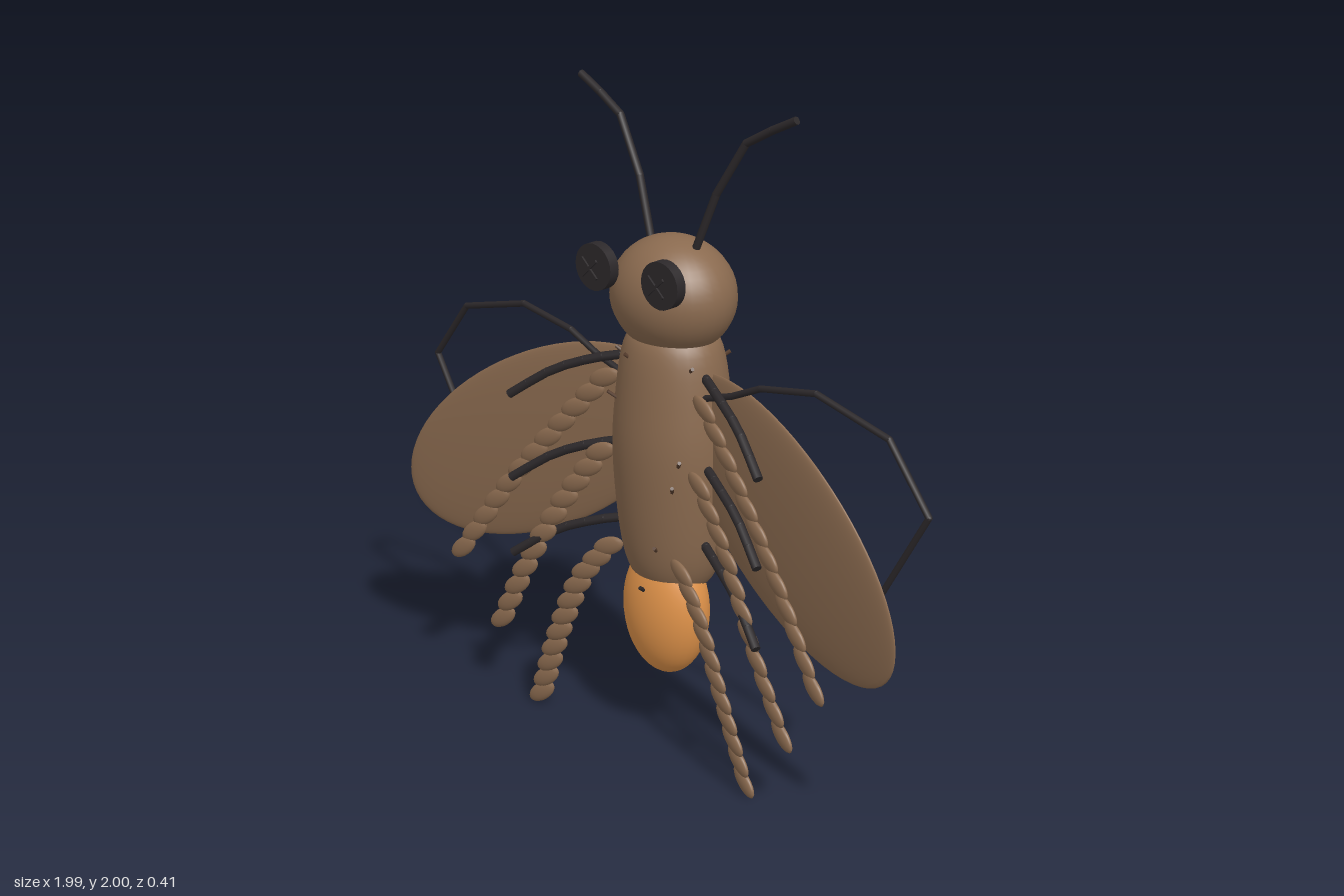
import * as THREE from 'three';

const mat = (name, color) => {
  const m = new THREE.MeshStandardMaterial({ color });
  m.name = name;
  return m;
};
const V = (x, y, z) => new THREE.Vector3(x, y, z);

export function createModel() {
  const brown = mat('brown', 0x8a6a4f);
  const orange = mat('orange', 0xe0934a);
  const black = mat('black', 0x2c282a);
  const bristleBrown = mat('bristleBrown', 0x5a4030);
  const model = new THREE.Group();
  model.name = 'beetle';

  const add = (name, geometry, material, parent = model) => {
    const mesh = new THREE.Mesh(geometry, material);
    mesh.name = name;
    parent.add(mesh);
    return mesh;
  };
  const group = (name) => {
    const g = new THREE.Group();
    g.name = name;
    model.add(g);
    return g;
  };
  const ellipsoid = (name, rx, ry, rz, material, parent, w = 32, h = 24) =>
    add(name, new THREE.SphereGeometry(1, w, h).scale(rx, ry, rz), material, parent);

  // Straight rod between two points
  const rod = (name, a, b, r, material, parent, sides = 8) => {
    const mesh = add(name, new THREE.CylinderGeometry(r, r, a.distanceTo(b), sides), material, parent);
    mesh.position.copy(a).lerp(b, 0.5);
    mesh.quaternion.setFromUnitVectors(V(0, 1, 0), b.clone().sub(a).normalize());
  };
  // Jointed limb made of rods, with small balls closing the joints
  const limb = (name, points, r) => {
    const g = group(name);
    for (let i = 1; i < points.length; i++) {
      rod('segment', points[i - 1], points[i], r, black, g);
      if (i < points.length - 1) ellipsoid('joint', r, r, r, black, g, 8, 6).position.copy(points[i]);
    }
  };

  // Head, barrel body and glowing tail
  ellipsoid('head', 0.198, 0.175, 0.172, brown).position.set(0, 1.415, -0.025);
  const profile = new THREE.SplineCurve([
    [0.001, 0.49], [0.09, 0.505], [0.143, 0.57], [0.172, 0.7], [0.19, 0.92],
    [0.183, 1.08], [0.155, 1.26], [0.1, 1.32], [0.001, 1.34],
  ].map(([x, y]) => new THREE.Vector2(x, y)));
  const body = add('body', new THREE.LatheGeometry(profile.getPoints(40), 32), brown);
  body.scale.z = 0.88;
  body.position.z = -0.024;
  const tail = ellipsoid('tailLantern', 0.148, 0.215, 0.108, orange);
  tail.position.set(0, 0.435, 0.005);

  // Short bristles on the body: angle around from the front, height
  const bristles = group('bristles');
  [
    [-0.35, 1.23], [-1.0, 1.22], [1.0, 1.22], [2.4, 1.22], [-2.4, 1.22], [-0.65, 1.1], [1.9, 1.1],
    [0.75, 0.95], [2.1, 0.96], [-2.6, 1.0], [0.65, 0.87], [1.95, 0.81], [-2.9, 0.88], [2.9, 0.78],
    [0.35, 0.66], [1.8, 0.66], [2.8, 0.65], [-2.2, 0.68], [3.0, 0.53],
  ].forEach(([angle, y]) => {
    const r = 0.165 - 0.5 * (y - 0.92) ** 2;
    const at = (k, dy) => V(Math.sin(angle) * k * 1.1, y + dy, Math.cos(angle) * k * 0.92 - 0.024);
    rod('bristle', at(r, -0.012), at(r + 0.045, 0.02), 0.006, bristleBrown, bristles, 6);
  });
  rod('tailBristle', V(0, 0.5, 0.08), V(0, 0.53, 0.12), 0.006, black, bristles, 6);

  for (const s of [-1, 1]) {
    const side = s > 0 ? 'left' : 'right';
    const P = (list) => list.map(([x, y, z]) => V(x * s, y, z));

    // Disc eye with a thin cross floating before it
    const eye = add(side + 'Eye', new THREE.CylinderGeometry(0.07, 0.07, 0.034, 24), black);
    eye.rotation.x = Math.PI / 2;
    eye.position.set(s * 0.13, 1.51, 0.155);
    for (const turn of [-1, 1]) {
      const bar = add(side + 'EyeCross', new THREE.BoxGeometry(0.08, 0.008, 0.006), black);
      bar.position.set(s * 0.13, 1.51, 0.188);
      bar.rotation.z = turn * 0.75;
    }

    // Antenna and the thin arched arm that dips behind the wing
    limb(side + 'Antenna', P([
      [0.075, 1.53, -0.02], [0.149, 1.735, -0.042], [0.243, 1.895, -0.06],
      [0.33, 1.945, -0.067], [0.415, 1.987, -0.072],
    ]), 0.012);
    limb(side + 'ArchedArm', P([
      [0.12, 1.13, 0.02], [0.27, 1.178, 0.02], [0.378, 1.228, 0.02], [0.58, 1.264, 0.02],
      [0.84, 1.198, 0.02], [0.983, 1.01, 0.02], [0.82, 0.72, 0.02],
    ]), 0.01);

    // Broad flattened wing
    const wing = ellipsoid(side + 'Wing', 0.56, 0.272, 0.025, brown, model, 48, 32);
    wing.position.set(s * 0.49, 0.85, 0.048);
    wing.rotation.set(0, -0.2 * s, -0.515 * s);

    // Three curved dark legs
    [1.2, 0.93, 0.68].forEach((y, i) => {
      const curve = new THREE.CatmullRomCurve3(P([
        [0.12, y + 0.01, -0.01], [0.24, y - 0.02, 0.05], [0.37, y - 0.075, 0.105], [0.5, y - 0.17, 0.165],
      ]));
      limb(side + 'Leg' + (i + 1), curve.getPoints(7), 0.014);
    });

    // Three beaded strands of flattened seeds
    [
      [[[0.2, 1.13, 0.06], [0.35, 0.96, 0.09], [0.53, 0.74, 0.13], [0.72, 0.465, 0.172]], 12],
      [[[0.2, 0.9, 0.08], [0.33, 0.72, 0.105], [0.46, 0.49, 0.135], [0.58, 0.255, 0.14]], 11],
      [[[0.15, 0.615, 0.1], [0.24, 0.5, 0.12], [0.33, 0.3, 0.13], [0.425, 0.043, 0.125]], 11],
    ].forEach(([path, count], k) => {
      const strand = group(side + 'BeadedStrand' + (k + 1));
      const curve = new THREE.CatmullRomCurve3(P(path));
      for (let i = 0; i < count; i++) {
        const bead = ellipsoid('bead', 0.057, 0.028, 0.013, brown, strand, 16, 10);
        bead.position.copy(curve.getPointAt(i / (count - 1)));
        bead.rotation.set(0, -0.2 * s, -s * (0.42 + 0.025 * i));
      }
    });
  }
  return model;
}
